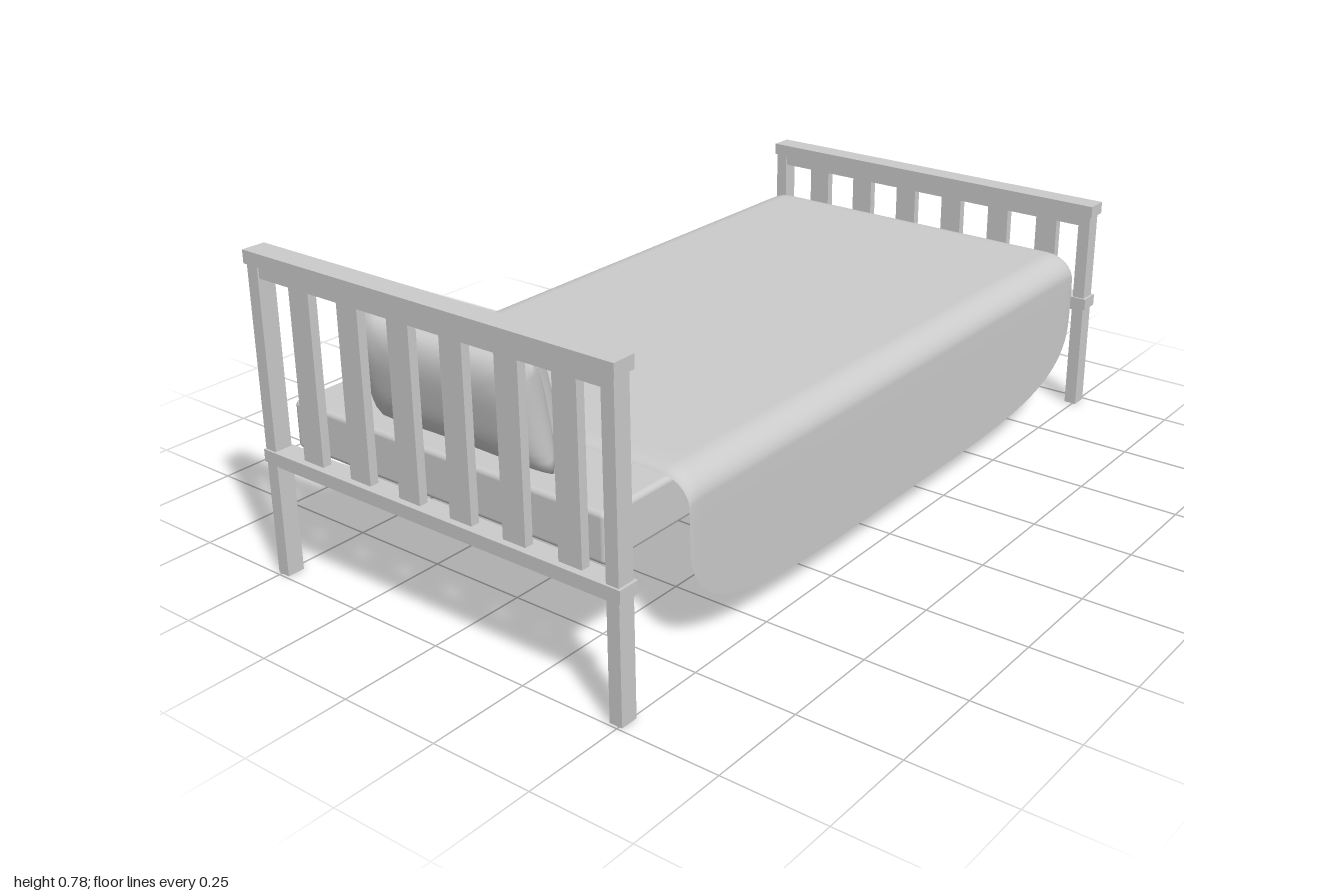
import * as THREE from 'three';
import { RoundedBoxGeometry } from 'three/addons/geometries/RoundedBoxGeometry.js';

const grey = new THREE.MeshStandardMaterial({ color: 0xcccccc });
const cloth = new THREE.MeshStandardMaterial({ color: 0xcccccc, side: THREE.DoubleSide });

function add(parent, name, geometry, material = grey) {
  const mesh = new THREE.Mesh(geometry, material);
  mesh.name = name;
  parent.add(mesh);
  return mesh;
}

// Box given by its low and high limits on each axis
function box(parent, name, [x0, x1], [y0, y1], [z0, z1]) {
  const mesh = add(parent, name, new THREE.BoxGeometry(x1 - x0, y1 - y0, z1 - z0));
  mesh.position.set((x0 + x1) / 2, (y0 + y1) / 2, (z0 + z1) / 2);
}

// Slatted end of the bed: posts, rails and six slats
function endBoard(name, top, z) {
  const board = new THREE.Group();
  board.name = name;
  board.position.z = z;
  const post = [-0.022, 0.022], inner = [-0.477, 0.476];
  box(board, 'topRail', [-0.511, 0.515], [top - 0.031, top], [-0.029, 0.029]);
  box(board, 'innerRail', inner, [top - 0.061, top - 0.031], [-0.018, 0.018]);
  box(board, 'lowerRail', [-0.511, 0.515], [0.281, 0.311], [-0.027, 0.027]);
  box(board, 'lowerStrip', inner, [0.272, 0.281], [-0.018, 0.018]);
  box(board, 'rightPost', [-0.509, -0.477], [0, top - 0.031], post);
  box(board, 'leftPost', [0.476, 0.508], [0, top - 0.031], post);
  for (let i = 0; i < 6; i++) {
    const x = -0.364 + i * 0.148;
    box(board, 'slat', [x - 0.0305, x + 0.0305], [0.311, top - 0.061], [-0.011, 0.011]);
  }
  return board;
}

// Plump cushion: full, rounded section along its width, with slightly raised corners
function pillow(name, width, height, depth) {
  const geometry = new THREE.SphereGeometry(1, 48, 40);
  geometry.rotateX(Math.PI / 2);
  const p = geometry.attributes.position;
  const v = new THREE.Vector3();
  for (let i = 0; i < p.count; i++) {
    v.fromBufferAttribute(p, i);
    // Spread the round outline into a square one
    const r = Math.hypot(v.x, v.y), m = Math.max(Math.abs(v.x), Math.abs(v.y));
    const k = m > 1e-6 ? r / m : 1;
    const x = v.x * k, y = v.y * k;
    const thick = Math.sqrt(Math.max(0, (1 - Math.abs(y) ** 3) * (1 - x ** 10)));
    p.setXYZ(i,
      x * width / 2 * (0.985 + 0.015 * y * y),
      y * height / 2 * (0.93 + 0.07 * x * x),
      Math.sign(v.z) * thick * depth / 2);
  }
  geometry.computeVertexNormals();
  const mesh = new THREE.Mesh(geometry, grey);
  mesh.name = name;
  return mesh;
}

// Draped cover: flat top, round shoulders, sides hanging to a curved hem
function blanketGeometry() {
  const rows = 56, half = 14, cols = half * 2 + 1;
  const points = [], index = [];
  for (let i = 0; i <= rows; i++) {
    const t = Math.sin((i / rows - 0.5) * Math.PI);
    const z = -0.099 + 0.835 * t;
    const hem = 0.355 - 0.29 * Math.pow(Math.max(0, 1 - t ** 4), 0.25);
    const dip = 0.012 * Math.abs(t) ** 80;
    for (let j = -half; j <= half; j++) {
      const a = Math.abs(j);
      let x, y;
      if (a <= 3) {
        x = 0.425 * a / 3;
        y = 0.434;
      } else if (a <= 10) {
        const angle = (a - 3) / 7 * Math.PI / 2;
        x = 0.425 + 0.073 * Math.sin(angle);
        y = 0.374 + 0.06 * Math.cos(angle);
      } else {
        x = 0.498;
        y = THREE.MathUtils.lerp(0.374, hem, (a - 10) / 4);
      }
      points.push(-0.018 + Math.sign(j) * x * (1 - dip / 2), y - dip, z);
      if (i < rows && j < half) {
        const n = i * cols + j + half;
        index.push(n, n + cols, n + 1, n + 1, n + cols, n + cols + 1);
      }
    }
  }
  const geometry = new THREE.BufferGeometry();
  geometry.setAttribute('position', new THREE.Float32BufferAttribute(points, 3));
  geometry.setIndex(index);
  geometry.computeVertexNormals();
  return geometry;
}

export function createModel() {
  const bed = new THREE.Group();
  bed.name = 'bed';

  // Frame
  bed.add(endBoard('headboard', 0.777, 0.971));
  bed.add(endBoard('footboard', 0.573, -0.971));

  // Bedding
  const mattress = add(bed, 'mattress', new RoundedBoxGeometry(0.895, 0.115, 1.888, 4, 0.012));
  mattress.position.set(-0.018, 0.3635, -0.004);
  add(bed, 'blanket', blanketGeometry(), cloth);

  // Pillows leaning on the headboard
  const large = pillow('largePillow', 0.495, 0.264, 0.1);
  large.position.set(-0.013, 0.549, 0.89);
  large.rotation.x = 0.19;
  const small = pillow('smallPillow', 0.372, 0.204, 0.086);
  small.position.set(-0.015, 0.545, 0.809);
  small.rotation.x = 0.2;
  bed.add(large, small);

  return bed;
}
